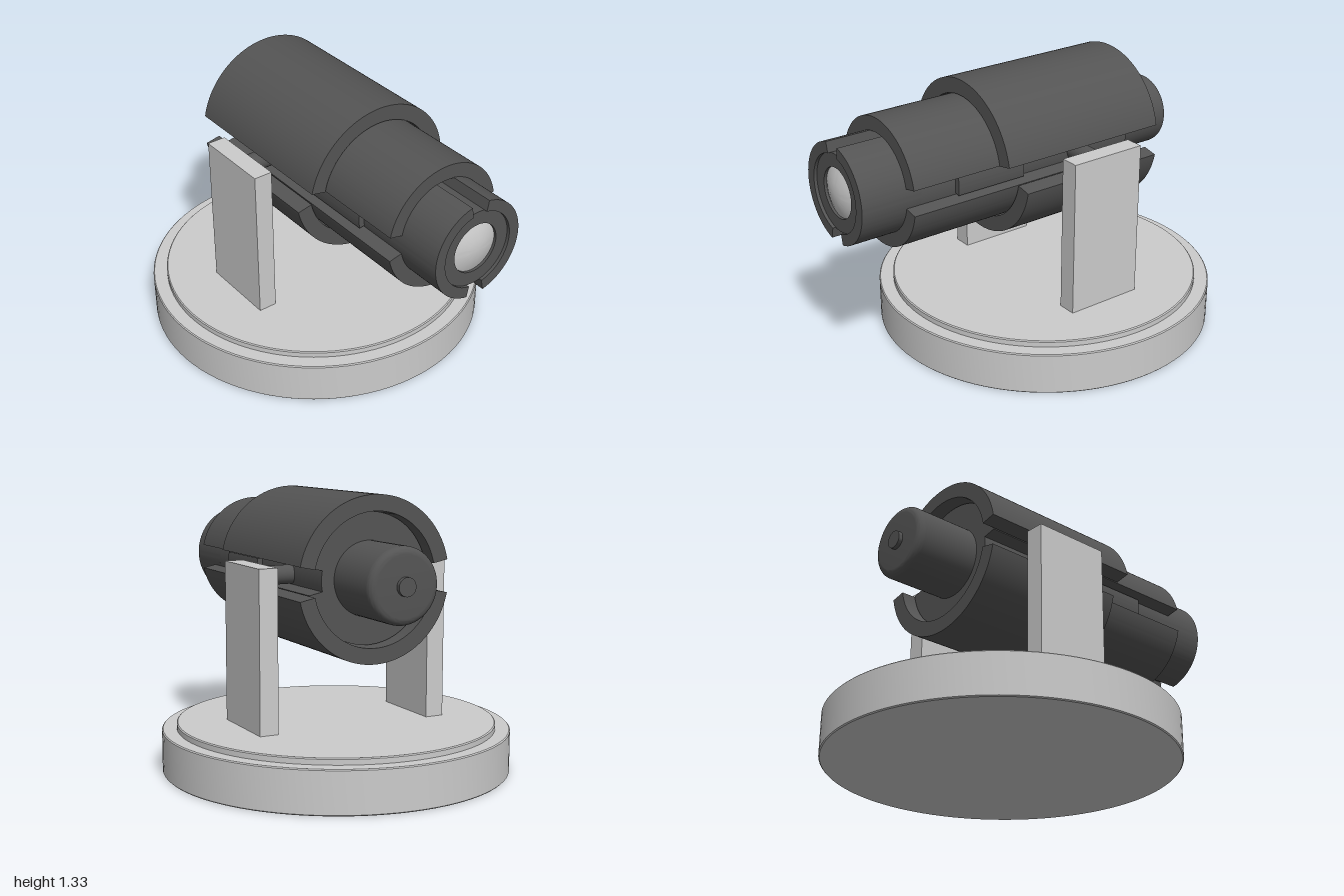
import * as THREE from 'three';
import { toCreasedNormals } from 'three/addons/utils/BufferGeometryUtils.js';

const GAP = THREE.MathUtils.degToRad(11.5); // half angle of every split between shells
const AXIS_Y = 0.945;                       // height of the barrel axis
const PIVOT_Z = -0.165;                     // centre of base and posts

const light = new THREE.MeshStandardMaterial({ color: 0xcccccc });
const dark = new THREE.MeshStandardMaterial({ color: 0x545454 });

function add(parent, name, geometry, material, x = 0, y = 0, z = 0) {
  const mesh = new THREE.Mesh(geometry, material);
  mesh.name = name;
  mesh.position.set(x, y, z);
  parent.add(mesh);
  return mesh;
}

// Curved shell along z, between two radii and two angles
function shell(rIn, rOut, a0, a1, zBack, zFront) {
  const s = new THREE.Shape();
  s.absarc(0, 0, rOut, a0, a1, false);
  s.absarc(0, 0, rIn, a1, a0, true);
  s.closePath();
  const g = new THREE.ExtrudeGeometry(s, { depth: zFront - zBack, bevelEnabled: false, curveSegments: 40 });
  g.translate(0, 0, zBack);
  return toCreasedNormals(g, 0.5);
}

// Turned part from [radius, position] points, sharp at strong corners
function turned(points, segments = 64) {
  const g = new THREE.LatheGeometry(points.map(([r, h]) => new THREE.Vector2(r, h)), segments);
  return toCreasedNormals(g, 0.5);
}

// Turned part with its axis laid along z
const turnedZ = (points) => turned(points).rotateX(Math.PI / 2);

export function createModel() {
  const model = new THREE.Group();
  model.name = 'pivotingBarrelOnStand';

  // Round base with a raised plate
  add(model, 'base', turned([[0, 0], [0.83, 0], [0.835, 0.005], [0.835, 0.2], [0.83, 0.205], [0, 0.205]], 96),
    light, 0, 0, PIVOT_Z);
  add(model, 'basePlate', turned([[0.765, 0.2], [0.765, 0.23], [0.76, 0.235], [0, 0.235]], 96),
    light, 0, 0, PIVOT_Z);

  // Posts and pivot pins, mirrored
  for (const side of [1, -1]) {
    const label = side > 0 ? 'left' : 'right';
    add(model, label + 'Post', new THREE.BoxGeometry(0.092, 0.775, 0.39), light, side * 0.44, 0.6125, -0.16);
    add(model, label + 'PivotPin', new THREE.CylinderGeometry(0.045, 0.045, 0.22, 32).rotateZ(Math.PI / 2),
      dark, side * 0.3, AXIS_Y, -0.16);
  }

  const barrel = new THREE.Group();
  barrel.name = 'barrel';
  barrel.position.y = AXIS_Y;
  model.add(barrel);

  // Upper and lower shells, outer and middle layer
  const { PI } = Math;
  add(barrel, 'upperOuterShell', shell(0.31, 0.385, GAP, PI - GAP, -0.55, 0.325), dark);
  add(barrel, 'lowerOuterShell', shell(0.31, 0.385, PI + GAP, 2 * PI - GAP, -0.55, 0.22), dark);
  add(barrel, 'upperMiddleShell', shell(0.235, 0.305, GAP, PI - GAP, -0.48, 0.775), dark);
  add(barrel, 'lowerMiddleShell', shell(0.235, 0.305, PI + GAP, 2 * PI - GAP, -0.48, 0.775), dark);

  // Solid core, with a split muzzle collar in front
  add(barrel, 'core', turnedZ([[0, -0.48], [0.238, -0.48], [0.238, 0.7], [0, 0.7]]), dark);
  add(barrel, 'leftMuzzleCollar', shell(0.185, 0.238, -PI / 2 + GAP, PI / 2 - GAP, 0.7, 1), dark);
  add(barrel, 'rightMuzzleCollar', shell(0.185, 0.238, PI / 2 + GAP, 1.5 * PI - GAP, 0.7, 1), dark);

  // Raised strips in the side gaps
  for (const [label, a] of [['left', 0], ['right', PI]]) {
    add(barrel, label + 'SideStrip', shell(0.23, 0.265, a - GAP * 0.85, a + GAP * 0.85, 0.16, 0.52), dark);
  }

  // Inner tube and lens
  add(barrel, 'innerTube', turnedZ([[0.186, 0.7], [0.186, 0.985], [0.12, 0.985], [0.12, 0.95]]), dark)
    .material.side = THREE.DoubleSide;
  add(barrel, 'lens', turnedZ([[0.12, 0.95], [0.12, 0.972], [0.09, 0.984], [0.05, 0.995], [0, 1]]), light);

  // Rear housing with rounded end, and a small button
  const rear = [[0, -0.81]];
  for (let i = 0; i <= 8; i++) {
    const t = (i / 8) * (PI / 2);
    rear.push([0.14 + 0.035 * Math.sin(t), -0.775 - 0.035 * Math.cos(t)]);
  }
  rear.push([0.175, -0.47]);
  add(barrel, 'rearHousing', turnedZ(rear), dark);
  add(barrel, 'rearButton', turnedZ([[0, -0.83], [0.043, -0.83], [0.043, -0.8]]), dark);

  return model;
}
